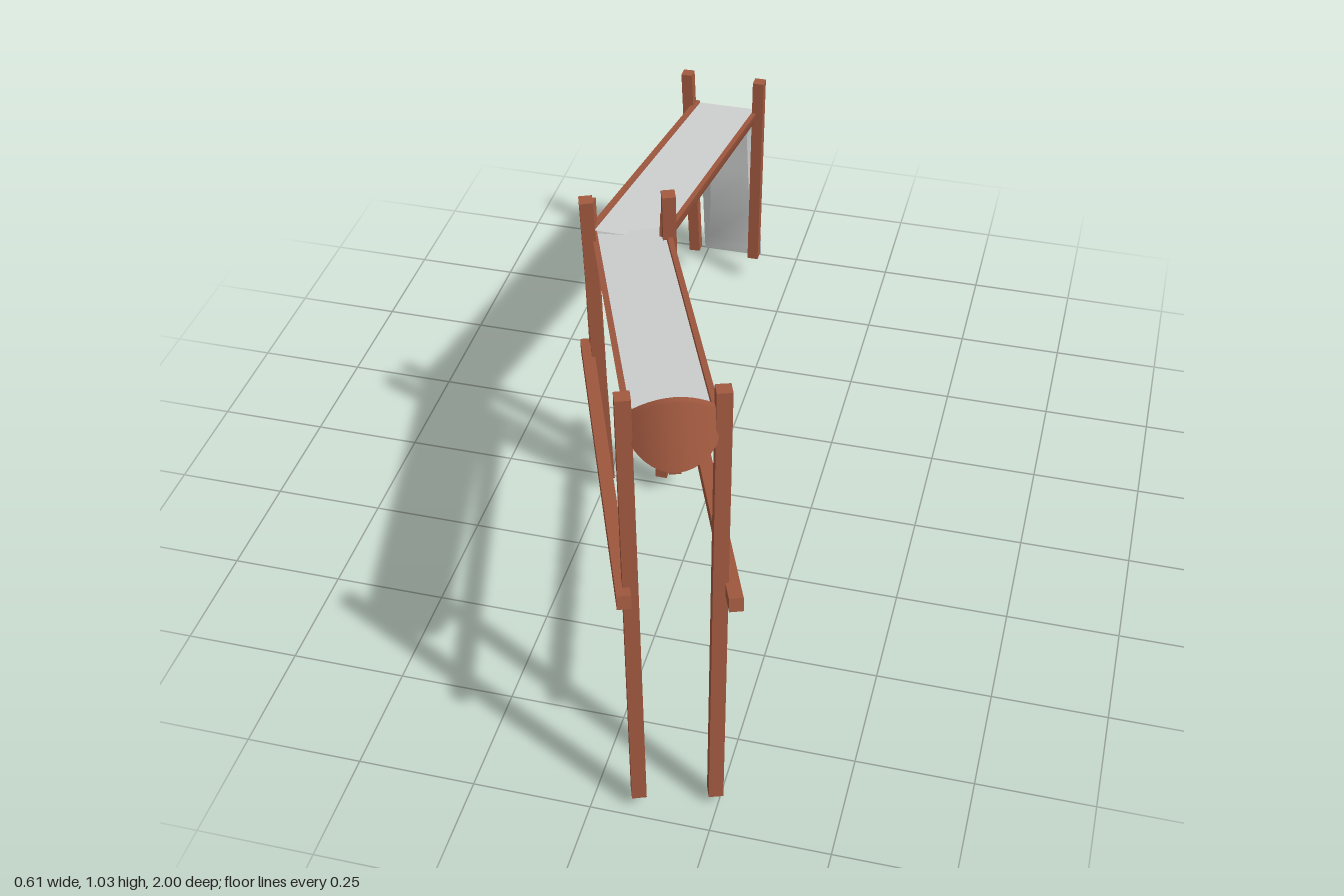
import * as THREE from 'three';
import { toCreasedNormals } from 'three/addons/utils/BufferGeometryUtils.js';

const V = (p) => new THREE.Vector3(...p);

export function createModel() {
  const model = new THREE.Group();
  model.name = 'waterFlume';
  const wood = new THREE.MeshStandardMaterial({ name: 'wood', color: 0xa35a40 });
  const water = new THREE.MeshStandardMaterial({ name: 'water', color: 0xd4d5d5, side: THREE.DoubleSide });

  const add = (parent, name, geometry, material) => {
    const mesh = new THREE.Mesh(geometry, material);
    mesh.name = name;
    parent.add(mesh);
    return mesh;
  };

  // Skin over a row of four-cornered cross-sections, closed at both ends
  const loft = (sections, crease) => {
    const index = [];
    const last = (sections.length - 1) * 4;
    for (let i = 0; i < last; i += 4) {
      for (let j = 0; j < 4; j++) {
        const k = (j + 1) % 4;
        index.push(i + j, i + k, i + 4 + k, i + j, i + 4 + k, i + 4 + j);
      }
    }
    index.push(0, 2, 1, 0, 3, 2, last, last + 1, last + 2, last, last + 2, last + 3);
    const g = new THREE.BufferGeometry();
    g.setAttribute('position', new THREE.Float32BufferAttribute(sections.flat(2), 3));
    g.setIndex(index);
    g.computeVertexNormals();
    return toCreasedNormals(g, crease);
  };

  // Square timber between two points, turned about its own length
  const beam = (name, from, to, size, yaw = 0) => {
    const a = V(from), b = V(to);
    const mesh = add(model, name, new THREE.BoxGeometry(size, a.distanceTo(b), size), wood);
    mesh.position.copy(a).add(b).multiplyScalar(0.5);
    mesh.quaternion.setFromUnitVectors(V([0, 1, 0]), b.sub(a).normalize())
      .multiply(new THREE.Quaternion().setFromAxisAngle(V([0, 1, 0]), yaw));
  };

  // Trough: rounded wooden channel with water lying just below the rim
  const HALF = 0.087, DEPTH = 0.084, WALL = 0.012;
  const arc = (w, d, top) => {
    const pts = [];
    for (let i = 0; i <= 8; i++) {
      const t = Math.PI + (i / 8) * Math.PI;
      pts.push(new THREE.Vector2(Math.cos(t) * w, top + Math.sin(t) * d));
    }
    return pts;
  };
  const trough = (name, from, to) => {
    const group = new THREE.Group();
    group.name = name;
    group.position.copy(V(from));
    group.lookAt(V(to));
    model.add(group);
    const length = V(from).distanceTo(V(to));
    const extrude = (pts, depth) => toCreasedNormals(
      new THREE.ExtrudeGeometry(new THREE.Shape(pts), { depth, bevelEnabled: false }), 0.6);
    const inner = arc(HALF - WALL, DEPTH - WALL, 0).reverse();
    add(group, 'channel', extrude([...arc(HALF, DEPTH, 0), ...inner], length), wood);
    add(group, 'channelWater', extrude(arc(HALF - WALL, DEPTH - WALL, -0.006), length - 0.002), water);
    return { group, length };
  };
  const upper = trough('upperTrough', [-0.18, 0.735, 0], [0.16, 0.967, 0.9]);
  trough('lowerTrough', [-0.18, 0.742, 0.03], [-0.18, 0.52, -0.92]);

  // Bowed board closing the high end of the upper trough
  const board = [];
  for (let i = 0; i <= 12; i++) {
    const t = -1 + i / 6, k = 1 - t * t;
    const x = t * (HALF + 0.003);
    const top = 0.012 + 0.042 * k, bottom = -(DEPTH + 0.002) * Math.sqrt(k);
    const z = upper.length - 0.02 + 0.035 * k;
    board.push([[x, bottom, z], [x, top, z], [x, top, z + 0.02], [x, bottom, z + 0.02]]);
  }
  add(upper.group, 'endBoard', loft(board, 0.5), wood);

  // Falling water: outer y, outer z, inner y, inner z, inner half width
  const fall = [
    [0.513, -0.9, 0.445, -0.9, 0.04], [0.508, -0.93, 0.455, -0.92, 0.045],
    [0.48, -0.955, 0.42, -0.932, 0.05], [0.35, -0.968, 0.3, -0.944, 0.052],
    [0.18, -0.976, 0.17, -0.957, 0.055], [0.05, -0.992, 0.05, -0.985, 0.068],
    [0, -1, 0, -0.999, 0.08],
  ].map(([oy, oz, iy, iz, w]) => [
    [-0.26, oy, oz], [-0.1, oy, oz], [-0.18 + w, iy, iz], [-0.18 - w, iy, iz],
  ]);
  add(model, 'waterfall', loft(fall, 0.6), water);

  // Leaning posts: top, bottom, thickness, turn
  const YAW = 0.36;
  [
    ['frontRightPost', [0.073, 1.03, 0.93], [0.092, 0.025, 0.96], 0.03, YAW],
    ['frontLeftPost', [0.243, 1.03, 0.865], [0.241, 0.02, 0.915], 0.03, YAW],
    ['middleRightTallPost', [-0.252, 0.855, 0.09], [-0.24, 0.037, 0.04], 0.03, YAW],
    ['middleLeftTallPost', [-0.083, 0.86, 0.032], [-0.086, 0.045, -0.005], 0.03, YAW],
    ['middleRightShortPost', [-0.272, 0.8, 0.012], [-0.262, 0.053, -0.005], 0.028, 0],
    ['middleLeftShortPost', [-0.09, 0.8, 0.012], [-0.11, 0.05, 0.02], 0.028, 0],
    ['backRightPost', [-0.277, 0.62, -0.885], [-0.258, 0.075, -0.885], 0.028, 0],
    ['backLeftPost', [-0.088, 0.62, -0.885], [-0.096, 0.075, -0.885], 0.028, 0],
  ].forEach(([name, top, bottom, size, yaw]) => beam(name, bottom, top, size, yaw));

  // Sloping side rails
  const rail = (name, from, to) => {
    const mesh = add(model, name, new THREE.BoxGeometry(0.028, 0.03, V(from).distanceTo(V(to))), wood);
    mesh.position.copy(V(from)).add(V(to)).multiplyScalar(0.5);
    mesh.lookAt(V(to));
  };
  rail('rightRail', [-0.293, 0.39, 0.0], [0.083, 0.585, 0.99]);
  rail('leftRail', [-0.078, 0.395, -0.03], [0.288, 0.585, 0.945]);

  return model;
}
